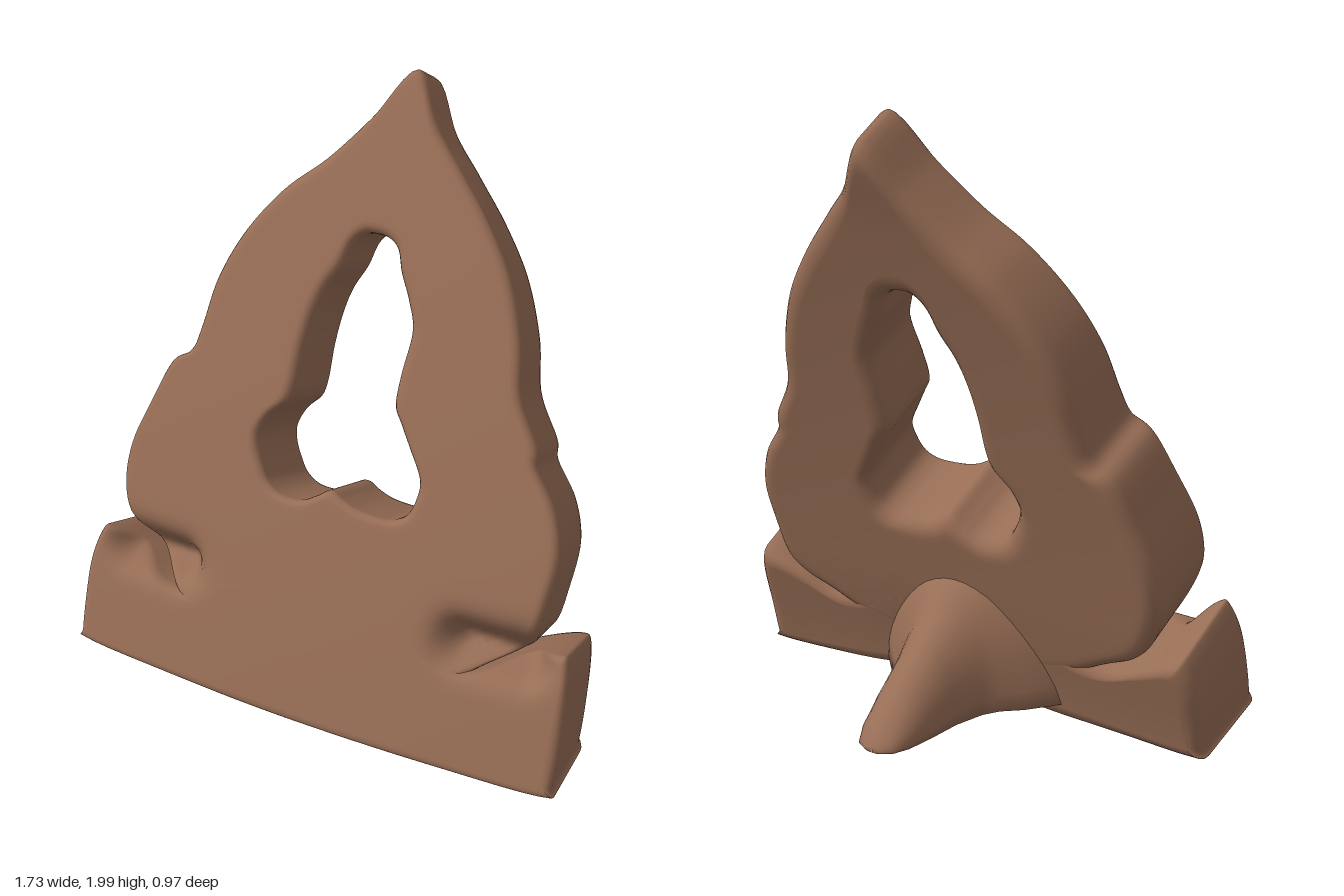
import * as THREE from 'three';

const clay = new THREE.MeshStandardMaterial({ color: 0x976d55 });
clay.name = 'brown clay';

// Skin a grid of points; columns and rows may each wrap around
function skin(name, cols, wrapCols, wrapRows) {
  const n = cols.length, m = cols[0].length, index = [];
  for (let i = 0; i < (wrapCols ? n : n - 1); i++) {
    for (let j = 0; j < (wrapRows ? m : m - 1); j++) {
      const i2 = (i + 1) % n, j2 = (j + 1) % m;
      const a = i * m + j, b = i2 * m + j, c = i2 * m + j2, d = i * m + j2;
      index.push(a, b, c, a, c, d);
    }
  }
  const g = new THREE.BufferGeometry();
  g.setAttribute('position', new THREE.Float32BufferAttribute(cols.flat(2), 3));
  g.setIndex(index);
  g.computeVertexNormals();
  const mesh = new THREE.Mesh(g, clay);
  mesh.name = name;
  return mesh;
}

const { smoothstep, clamp } = THREE.MathUtils;
const thickness = (y) => 0.405 - 0.1 * y;

// Place a point of the front outline at a depth (0 front, 1 back) within the leaning plate
function lean(x, y, v) {
  const ax = Math.abs(x);
  // scroll hollows beside the lobes
  const dist = Math.hypot(ax - clamp(ax, 0.5, 0.7), y - (x > 0 ? 0.48 : 0.46));
  const d = v * thickness(y) + 0.13 * Math.exp(-((dist / 0.065) ** 2)) * (1 - v);
  const underside = 0.2 - 0.12 * Math.exp(-(((x - 0.1) / 0.25) ** 2));
  const drop = underside + (0.4 - underside) * smoothstep(y, 0.1, 0.6) + 0.1 * smoothstep(y, 1.75, 2);
  return [x * (1 - 0.025 * v), y - drop * d, 0.515 - 0.31 * y - 0.048 * y * y - 0.05 * x * x - 0.93 * d];
}

// Cross-section of the plate as [distance from inner edge, depth], with rounded corners
function section(L, t, open) {
  const M = 20, front = 0.03, back = 0.055, path = [];
  const corner = (s, d, r, from) => {
    for (let k = 0; k <= 4; k++) {
      const a = from + Math.PI * k / 8;
      path.push([s + r * Math.cos(a), (d + r * Math.sin(a)) / t]);
    }
  };
  const f0 = open ? 0 : front, b0 = open ? 0 : back;
  for (let k = 0; k < M; k++) path.push([f0 + (L - front - f0) * k / M, 0]);
  corner(L - front, front, front, -Math.PI / 2);
  path.push([L, 0.5]);
  corner(L - back, t - back, back, 0);
  for (let k = M - 1; k >= (open ? 0 : 1); k--) path.push([b0 + (L - back - b0) * k / M, 1]);
  if (!open) {
    corner(back, t - back, back, Math.PI / 2);
    path.push([0, 0.5]);
    corner(front, front, front, Math.PI);
    path.pop();
  }
  return path;
}

// Rounded plate between an inner and an outer loop; rows are [outerX, outerY, innerX, innerY]
function plate(name, rows, open) {
  const loop = (k) => new THREE.CatmullRomCurve3(
    rows.map((p) => new THREE.Vector3(p[k], p[k + 1], 0)), true, 'catmullrom', 0.5);
  const outer = loop(0), inner = loop(2), N = 200, cols = [];
  for (let i = 0; i < N; i++) {
    const b = outer.getPoint(i / N), a = inner.getPoint(i / N), L = a.distanceTo(b);
    cols.push(section(L, thickness(b.y), open).map(([s, v]) => {
      const p = a.clone().lerp(b, s / L);
      return lean(p.x, p.y, v);
    }));
  }
  return skin(name, cols, true, !open);
}

export function createModel() {
  const model = new THREE.Group();
  model.name = 'pointedArchStand';

  // Pointed arch with side lobes, clockwise from the tip
  const archRight = [
    [0.025, 2.015, 0, 1.56], [0.125, 1.87, 0.04, 1.555], [0.23, 1.76, 0.075, 1.53],
    [0.34, 1.645, 0.1, 1.47], [0.44, 1.51, 0.14, 1.4], [0.51, 1.35, 0.17, 1.32],
    [0.545, 1.2, 0.16, 1.2], [0.62, 1.08, 0.16, 1.11], [0.635, 1.02, 0.19, 1.06],
    [0.71, 0.92, 0.23, 1.0], [0.75, 0.8, 0.28, 0.92], [0.74, 0.66, 0.28, 0.86],
    [0.715, 0.54, 0.26, 0.81], [0.65, 0.47, 0.22, 0.785], [0.56, 0.41, 0.17, 0.78],
    [0.4, 0.3, 0.1, 0.785], [0.2, 0.24, 0.05, 0.8], [0, 0.22, 0, 0.82],
  ];
  const archLeft = [
    [-0.2, 0.24, -0.05, 0.79], [-0.4, 0.3, -0.1, 0.765], [-0.56, 0.4, -0.17, 0.765],
    [-0.65, 0.46, -0.22, 0.79], [-0.71, 0.53, -0.25, 0.83], [-0.755, 0.65, -0.275, 0.88],
    [-0.75, 0.78, -0.28, 0.93], [-0.7, 0.92, -0.25, 0.99], [-0.64, 1.06, -0.2, 1.04],
    [-0.575, 1.11, -0.185, 1.1], [-0.55, 1.19, -0.18, 1.2], [-0.52, 1.34, -0.165, 1.3],
    [-0.45, 1.49, -0.14, 1.38], [-0.34, 1.63, -0.1, 1.45], [-0.21, 1.74, -0.075, 1.52],
    [-0.09, 1.87, -0.04, 1.555],
  ];
  model.add(plate('arch', [...archRight, ...archLeft], false));

  // Wide base with raised end blocks, filled to a centre line
  const base = [
    [0, 0.52], [0.3, 0.5], [0.42, 0.42], [0.55, 0.4], [0.68, 0.47], [0.8, 0.52],
    [0.838, 0.49], [0.855, 0.3], [0.855, 0.12], [0.835, 0.085], [0.5, 0.08], [0, 0.075],
    [-0.5, 0.08], [-0.835, 0.085], [-0.86, 0.12], [-0.858, 0.34], [-0.825, 0.47],
    [-0.79, 0.485], [-0.68, 0.43], [-0.55, 0.37], [-0.42, 0.39], [-0.3, 0.48],
  ].map(([x, y]) => [x, y, x * 0.8, 0.24]);
  model.add(plate('base', base, true));

  // Rear foot: flared ridge tapering backwards, sections are [z, half width, top]
  const sections = [
    [0.18, 0.4, 0.5], [0.08, 0.33, 0.5], [0, 0.26, 0.48], [-0.05, 0.2, 0.44],
    [-0.1, 0.165, 0.385], [-0.2, 0.13, 0.32], [-0.32, 0.11, 0.235], [-0.41, 0.09, 0.16],
    [-0.46, 0.065, 0.11], [-0.48, 0.03, 0.085], [-0.482, 0.001, 0.075],
  ];
  const foot = sections.map(([z, w, top]) => {
    const ring = [];
    for (let k = 0; k <= 20; k++) {
      const a = Math.PI * k / 20;
      ring.push([w * Math.cos(a), 0.07 + (top - 0.07) * Math.sin(a), z]);
    }
    for (let k = 1; k < 6; k++) ring.push([w * (k / 3 - 1), 0.065, z]);
    return ring;
  });
  model.add(skin('rearFoot', foot, false, true));
  return model;
}
